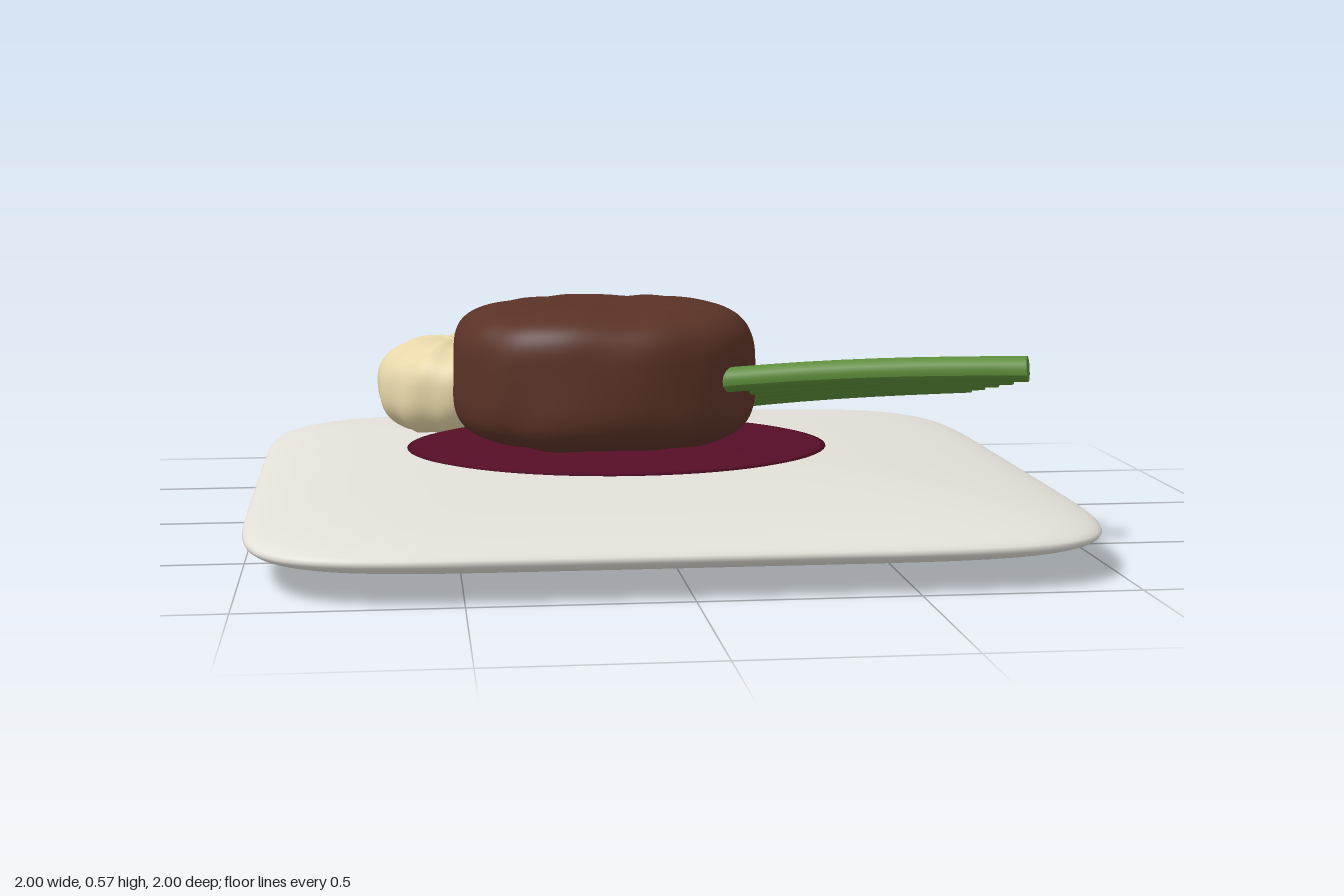
import * as THREE from 'three';
import { mergeVertices } from 'three/addons/utils/BufferGeometryUtils.js';

const material = (name, color) => {
  const m = new THREE.MeshStandardMaterial({ color });
  m.name = name;
  return m;
};

const spow = (v, p) => Math.sign(v) * Math.pow(Math.abs(v), p);

// Superellipsoid: nPlan squares off the outline, nSide squares off the profile.
// ripple(angle, height, radius) scales the radius and height slightly.
function blob([rx, ry, rz], nPlan, nSide, seg, rings, ripple = () => [1, 1]) {
  const geo = new THREE.SphereGeometry(1, seg, rings);
  const p = geo.attributes.position;
  for (let i = 0; i < p.count; i++) {
    const x = p.getX(i), y = p.getY(i), z = p.getZ(i);
    const a = Math.atan2(z, x);
    const c = Math.hypot(x, z) < 1e-5 ? 0 : Math.pow(Math.hypot(x, z), 2 / nSide);
    const h = spow(y, 2 / nSide);
    const [kr, kh] = ripple(a, h, c);
    p.setXYZ(i,
      rx * c * kr * spow(Math.cos(a), 2 / nPlan),
      ry * h * kh,
      rz * c * kr * spow(Math.sin(a), 2 / nPlan));
  }
  geo.deleteAttribute('uv');
  geo.deleteAttribute('normal');
  const merged = mergeVertices(geo, 1e-5);
  merged.computeVertexNormals();
  return merged;
}

// Closed cylinder laid from a to b with a slight upward bow
function bentStalk(a, b, radius, bow) {
  const dir = b.clone().sub(a);
  const len = dir.length();
  const geo = new THREE.CylinderGeometry(radius, radius, len, 14, 10);
  const q = new THREE.Quaternion().setFromUnitVectors(new THREE.Vector3(0, 1, 0), dir.normalize());
  const p = geo.attributes.position;
  const v = new THREE.Vector3();
  for (let i = 0; i < p.count; i++) {
    v.fromBufferAttribute(p, i);
    const t = v.y / len + 0.5;
    v.applyQuaternion(q).addScaledVector(a, 1 - t / 1).addScaledVector(b, t);
    // the cylinder's own length is replaced by the lerp between its ends
    v.addScaledVector(dir, -(t - 0.5) * len);
    v.y += bow * Math.sin(Math.PI * t);
    p.setXYZ(i, v.x, v.y, v.z);
  }
  geo.computeVertexNormals();
  return geo;
}

export function createModel() {
  const group = new THREE.Group();
  const china = material('china', 0xe2dfd7);
  const sauceRed = material('sauceRed', 0x560e27);
  const meatBrown = material('meatBrown', 0x5a3226);
  const beanGreen = material('beanGreen', 0x5c8c38);
  const cream = material('cream', 0xe6d6a8);

  const add = (name, geo, mat, x = 0, y = 0, z = 0) => {
    const mesh = new THREE.Mesh(geo, mat);
    mesh.name = name;
    mesh.position.set(x, y, z);
    group.add(mesh);
  };

  // Squared plate
  add('plate', blob([1, 0.094, 1], 7, 2, 96, 40), china, 0, 0.094, 0);

  // Pool of sauce
  add('sauce', blob([0.535, 0.017, 0.46], 2, 2, 64, 12), sauceRed, -0.08, 0.197, 0.07);

  // Meat patty with pinched, wrinkled top
  const meatRipple = (a, h, c) => {
    const s = a + 0.7 * h;
    const w = Math.sin(5 * s + 1) * 0.5 + Math.sin(9 * s - 2 * h) * 0.35 + Math.sin(14 * a + 3 * h) * 0.25;
    const pinch = Math.exp(-c * c * 14);
    return [1 + 0.012 * w, 1 + 0.02 * w * Math.min(1, c * 2) - 0.07 * pinch];
  };
  add('meatPatty', blob([0.382, 0.18, 0.347], 2.3, 4.2, 80, 48, meatRipple), meatBrown, -0.115, 0.388, 0.07);

  // Scoop of mash with swirled lobes
  const mashRipple = (a, h, c) => {
    const w = Math.sin(12 * a + 2.5 * h) * 0.6 + Math.sin(5 * a - 3 * h) * 0.4;
    const pinch = Math.exp(-c * c * 16);
    return [1 + 0.022 * w, 1 + 0.05 * w * Math.min(1, c * 2) - 0.1 * pinch];
  };
  add('mashScoop', blob([0.228, 0.137, 0.228], 2, 2.5, 72, 36, mashRipple), cream, -0.462, 0.285, -0.465);

  // Fan of green beans leaning on the patty
  for (let i = 0; i < 5; i++) {
    const start = new THREE.Vector3(0.02, 0.24 + 0.033 * i, -0.275 + 0.131 * i);
    const end = new THREE.Vector3(0.843, 0.347 + 0.0245 * i, 0.07 + 0.131 * i);
    add('greenBean' + (i + 1), bentStalk(start, end, 0.031, 0.012), beanGreen);
  }

  return group;
}
